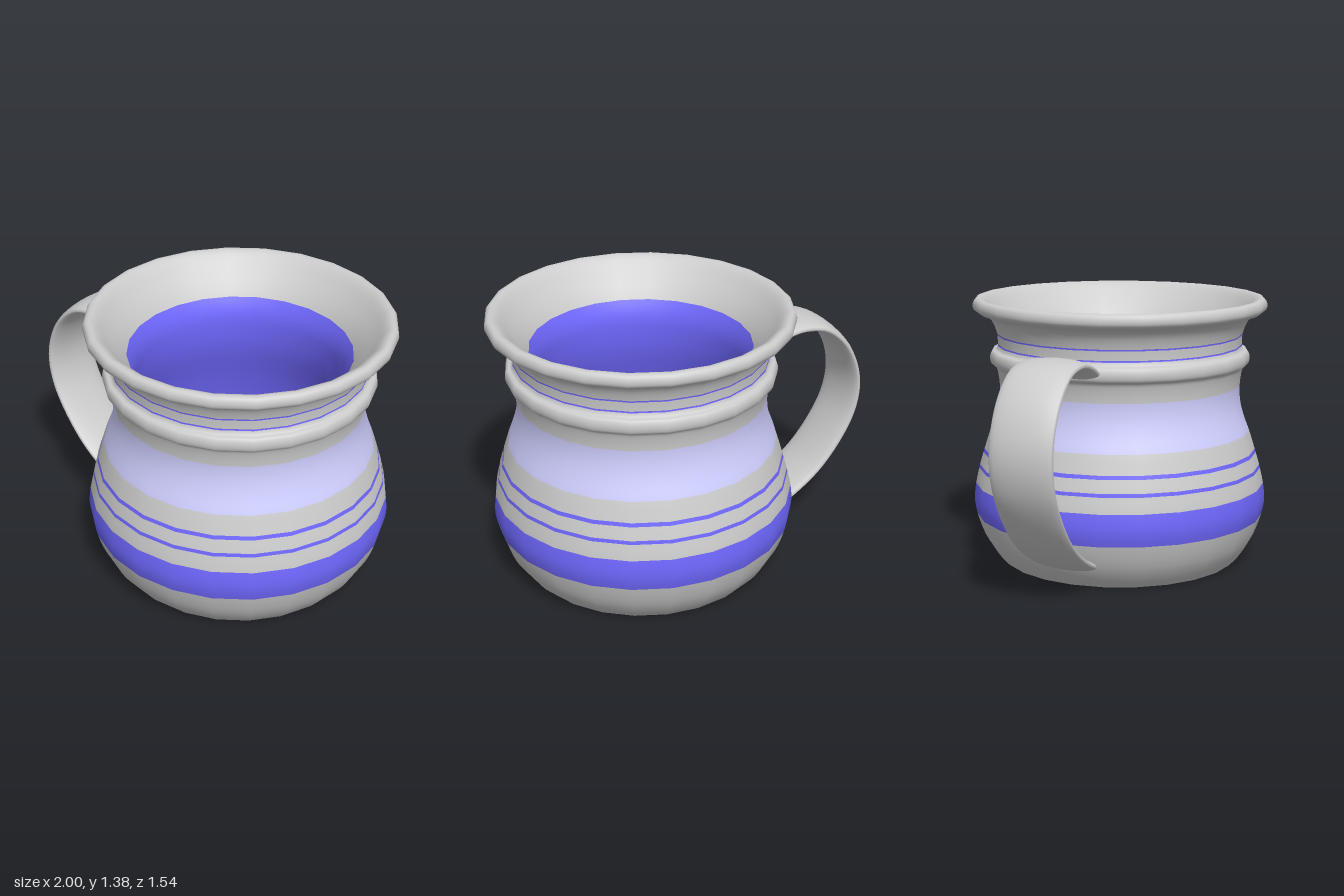
import * as THREE from 'three';

const CENTER_X = 0.23, SEGMENTS = 24, STEPS = 3;

const materials = {
  clay: new THREE.MeshStandardMaterial({ color: 0xcccccc }),
  blue: new THREE.MeshStandardMaterial({ color: 0x7068ff }),
  lavender: new THREE.MeshStandardMaterial({ color: 0xcfcfff }),
};

// Profile runs up the outside, over the lip and down the inside.
// Each section: mesh name, glaze, then [radius, height] points; it ends where the next one starts.
const sections = [
  ['foot', 'clay', [[0.62, 0], [0.665, 0.05], [0.715, 0.13]]],
  ['bellyBand', 'blue', [[0.755, 0.245], [0.768, 0.32]]],
  ['belly', 'clay', [[0.76, 0.41]]],
  ['lowerStripe', 'blue', [[0.742, 0.49]]],
  ['stripeGap', 'clay', [[0.738, 0.508]]],
  ['upperStripe', 'blue', [[0.719, 0.573]]],
  ['shoulder', 'clay', [[0.713, 0.592]]],
  ['shoulderBand', 'lavender', [[0.682, 0.69], [0.652, 0.77], [0.632, 0.85]]],
  ['collar', 'clay', [[0.628, 0.93], [0.64, 1.01], [0.65, 1.03], [0.67, 1.042], [0.677, 1.075],
    [0.667, 1.106], [0.645, 1.115]]],
  ['lowerNeckStripe', 'blue', [[0.636, 1.133]]],
  ['neck', 'clay', [[0.635, 1.141]]],
  ['upperNeckStripe', 'blue', [[0.637, 1.188]]],
  ['lip', 'clay', [[0.638, 1.196], [0.657, 1.25], [0.69, 1.29], [0.735, 1.307], [0.758, 1.325],
    [0.762, 1.35], [0.752, 1.374], [0.73, 1.382], [0.7, 1.368], [0.65, 1.315], [0.595, 1.25]]],
  ['interior', 'blue', [[0.555, 1.19], [0.527, 1.13], [0.515, 1.06], [0.53, 0.9], [0.6, 0.68],
    [0.66, 0.42], [0.65, 0.27], [0.57, 0.12], [0.45, 0.065], [0.25, 0.06], [0, 0.06]]],
];

function createBody() {
  const body = new THREE.Group();
  body.name = 'body';
  const points = sections.flatMap((s) => s[2]).map(([r, y]) => new THREE.Vector3(r, y, 0));
  const curve = new THREE.CatmullRomCurve3(points);
  const profile = curve.getPoints((points.length - 1) * STEPS)
    .map((p) => new THREE.Vector2(Math.max(p.x, 0), p.y));
  const whole = new THREE.LatheGeometry(profile, SEGMENTS);
  const rows = profile.length - 1;
  const faces = whole.index.array;

  // Split the lathe into glaze bands that share its smooth normals
  let start = 0;
  for (const [name, glaze, pts] of sections) {
    const end = Math.min(start + pts.length * STEPS, rows);
    const index = [];
    for (let i = 0; i < SEGMENTS; i++) {
      index.push(...faces.slice((i * rows + start) * 6, (i * rows + end) * 6));
    }
    const band = new THREE.BufferGeometry();
    for (const key of ['position', 'normal', 'uv']) band.setAttribute(key, whole.getAttribute(key).clone());
    band.setIndex(index);
    const mesh = new THREE.Mesh(band, materials[glaze]);
    mesh.name = name;
    body.add(mesh);
    start = end;
  }

  // Flat underside
  const base = new THREE.Mesh(new THREE.CircleGeometry(0.62, SEGMENTS), materials.clay);
  base.name = 'base';
  base.rotation.x = Math.PI / 2;
  body.add(base);

  body.position.x = CENTER_X;
  return body;
}

// Strap handle: a tube widened into a flat oval section
function createHandle() {
  const path = new THREE.CatmullRomCurve3([
    [-0.37, 1.04], [-0.45, 1.1], [-0.54, 1.136], [-0.63, 1.147], [-0.76, 1.118], [-0.88, 1.01],
    [-0.949, 0.87], [-0.967, 0.74], [-0.94, 0.6], [-0.86, 0.45], [-0.74, 0.305], [-0.6, 0.2],
    [-0.49, 0.143], [-0.43, 0.12],
  ].map(([x, y]) => new THREE.Vector3(x, y, 0)));
  const geometry = new THREE.TubeGeometry(path, 48, 0.033, 20);
  geometry.scale(1, 1, 4.95);
  const handle = new THREE.Mesh(geometry, materials.clay);
  handle.name = 'handle';
  return handle;
}

export function createModel() {
  const mug = new THREE.Group();
  mug.name = 'mug';
  mug.add(createBody(), createHandle());
  return mug;
}
